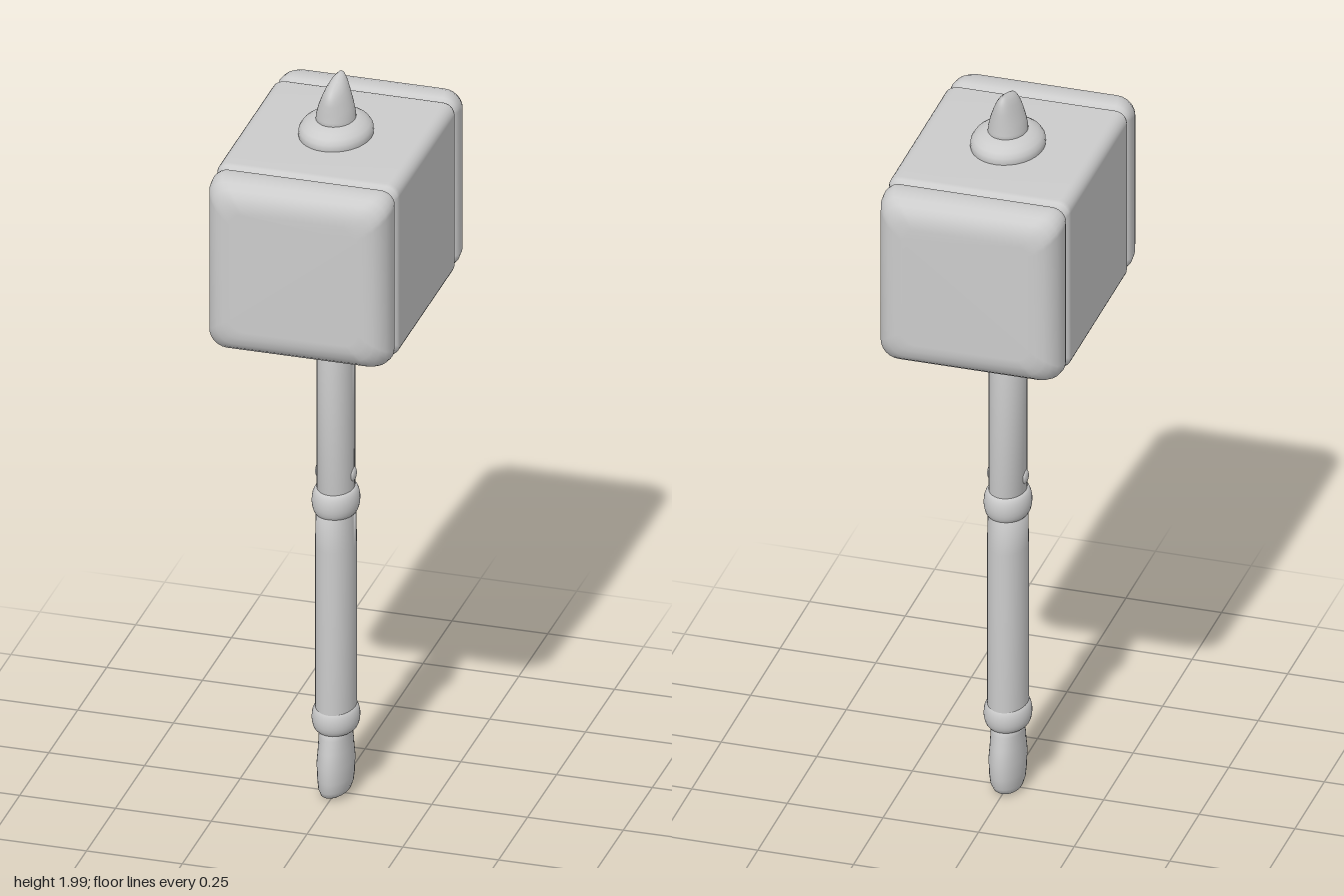
import * as THREE from 'three';

const material = new THREE.MeshStandardMaterial({ color: 0xcccccc });

// Smooth closed skin through rings of equal point count, fan-capped at both ends
function loft(name, rings) {
  const n = rings[0].length;
  const last = (rings.length - 1) * n;
  const index = [];
  for (let i = 0; i < rings.length - 1; i++) {
    for (let j = 0; j < n; j++) {
      const k = (j + 1) % n;
      const a = i * n + j, b = i * n + k, c = b + n, d = a + n;
      index.push(a, b, c, a, c, d);
    }
  }
  for (let j = 1; j < n - 1; j++) {
    index.push(0, j + 1, j, last, last + j, last + j + 1);
  }
  const geometry = new THREE.BufferGeometry();
  geometry.setAttribute('position', new THREE.Float32BufferAttribute(rings.flat(2), 3));
  geometry.setIndex(index);
  geometry.computeVertexNormals();
  const mesh = new THREE.Mesh(geometry, material);
  mesh.name = name;
  return mesh;
}

// Horizontal oval ring; slant lowers its front edge, lean lowers its left edge
function oval([y, rx, rz, slant = 0, lean = 0], sides = 32) {
  return Array.from({ length: sides }, (_, j) => {
    const a = (j / sides) * Math.PI * 2;
    const x = rx * Math.cos(a), z = -rz * Math.sin(a);
    return [x, y - slant * z - lean * x, z];
  });
}

// Upright square ring with rounded corners
function roundedSquare([z, half, radius], y, steps = 6) {
  const points = [];
  for (let corner = 0; corner < 4; corner++) {
    const mid = Math.PI / 4 + corner * Math.PI / 2;
    const cx = Math.sign(Math.cos(mid)) * (half - radius);
    const cy = Math.sign(Math.sin(mid)) * (half - radius);
    for (let s = 0; s <= steps; s++) {
      const a = (corner + s / steps) * Math.PI / 2;
      points.push([cx + radius * Math.cos(a), y + cy + radius * Math.sin(a), z]);
    }
  }
  return points;
}

const ovalLoft = (name, sections) => loft(name, sections.map((s) => oval(s)));

export function createModel() {
  const group = new THREE.Group();
  const headY = 1.607;

  // Head: block with a bevelled striking cap at each end, split off by grooves
  const halfHead = [
    [0, 0.238, 0.03], [0.12, 0.238, 0.03], [0.236, 0.238, 0.03], [0.246, 0.235, 0.03],
    [0.254, 0.229, 0.028], [0.258, 0.222, 0.026], [0.262, 0.229, 0.03],
    [0.27, 0.235, 0.036], [0.285, 0.238, 0.04], [0.31, 0.237, 0.045], [0.33, 0.231, 0.047],
    [0.347, 0.219, 0.047], [0.358, 0.204, 0.045], [0.364, 0.185, 0.04], [0.366, 0.165, 0.035],
  ];
  const headSections = [
    ...halfHead.slice(1).reverse().map(([z, half, r]) => [-z, half, r]),
    ...halfHead,
  ];
  group.add(loft('hammerHead', headSections.map((s) => roundedSquare(s, headY))));

  // Oval collars above and below the head
  group.add(ovalLoft('upperCollar', [
    [1.82, 0.09, 0.108], [1.85, 0.093, 0.111], [1.862, 0.092, 0.11],
    [1.873, 0.085, 0.102], [1.882, 0.073, 0.088], [1.89, 0.056, 0.07], [1.891, 0.04, 0.05],
  ]));
  group.add(ovalLoft('lowerCollar', [
    [1.335, 0.045, 0.058], [1.336, 0.073, 0.09], [1.342, 0.085, 0.102],
    [1.352, 0.092, 0.109], [1.365, 0.094, 0.111], [1.39, 0.092, 0.109],
  ]));

  // Slanted wedge tip on top of the head
  group.add(ovalLoft('tip', [
    [1.86, 0.052, 0.063], [1.9, 0.049, 0.061], [1.925, 0.043, 0.06, 0.05],
    [1.95, 0.034, 0.06, 0.13], [1.968, 0.026, 0.058, 0.2], [1.98, 0.018, 0.053, 0.25],
    [1.986, 0.01, 0.045, 0.27], [1.988, 0.003, 0.03, 0.27],
  ]));

  // Handle: bare shaft above, thicker grip below
  group.add(ovalLoft('shaft', [[0.8, 0.047, 0.06], [1.1, 0.047, 0.06], [1.4, 0.047, 0.06]]));
  group.add(ovalLoft('grip', [
    [0.19, 0.046, 0.06], [0.25, 0.051, 0.066], [0.5, 0.051, 0.066],
    [0.7, 0.051, 0.066], [0.82, 0.049, 0.064],
  ]));

  // Rounded bands at both ends of the grip
  for (const [name, y, h] of [['upperBand', 0.826, 0.036], ['lowerBand', 0.222, 0.034]]) {
    const sections = [];
    for (let i = 0; i <= 10; i++) {
      const t = (i / 10) * Math.PI;
      const bulge = 0.015 * Math.sin(t);
      sections.push([y - h * Math.cos(t), 0.045 + bulge, 0.057 + bulge]);
    }
    group.add(ovalLoft(name, sections));
  }

  // Flared pommel, broad from the side
  group.add(ovalLoft('pommel', [
    [0.008, 0.01, 0.025, 0, -0.12], [0.01, 0.026, 0.048, 0, -0.12], [0.017, 0.036, 0.063, 0, -0.12],
    [0.032, 0.041, 0.072, 0, -0.08], [0.06, 0.044, 0.076], [0.1, 0.045, 0.078],
    [0.14, 0.042, 0.072], [0.175, 0.041, 0.064], [0.21, 0.043, 0.059],
  ]));

  // Small pin head on each side of the shaft
  for (const side of [-1, 1]) {
    const pin = new THREE.Mesh(new THREE.SphereGeometry(0.019, 20, 14), material);
    pin.name = side > 0 ? 'leftPin' : 'rightPin';
    pin.scale.x = 0.4;
    pin.position.set(side * 0.045, 0.9, 0);
    group.add(pin);
  }

  return group;
}
